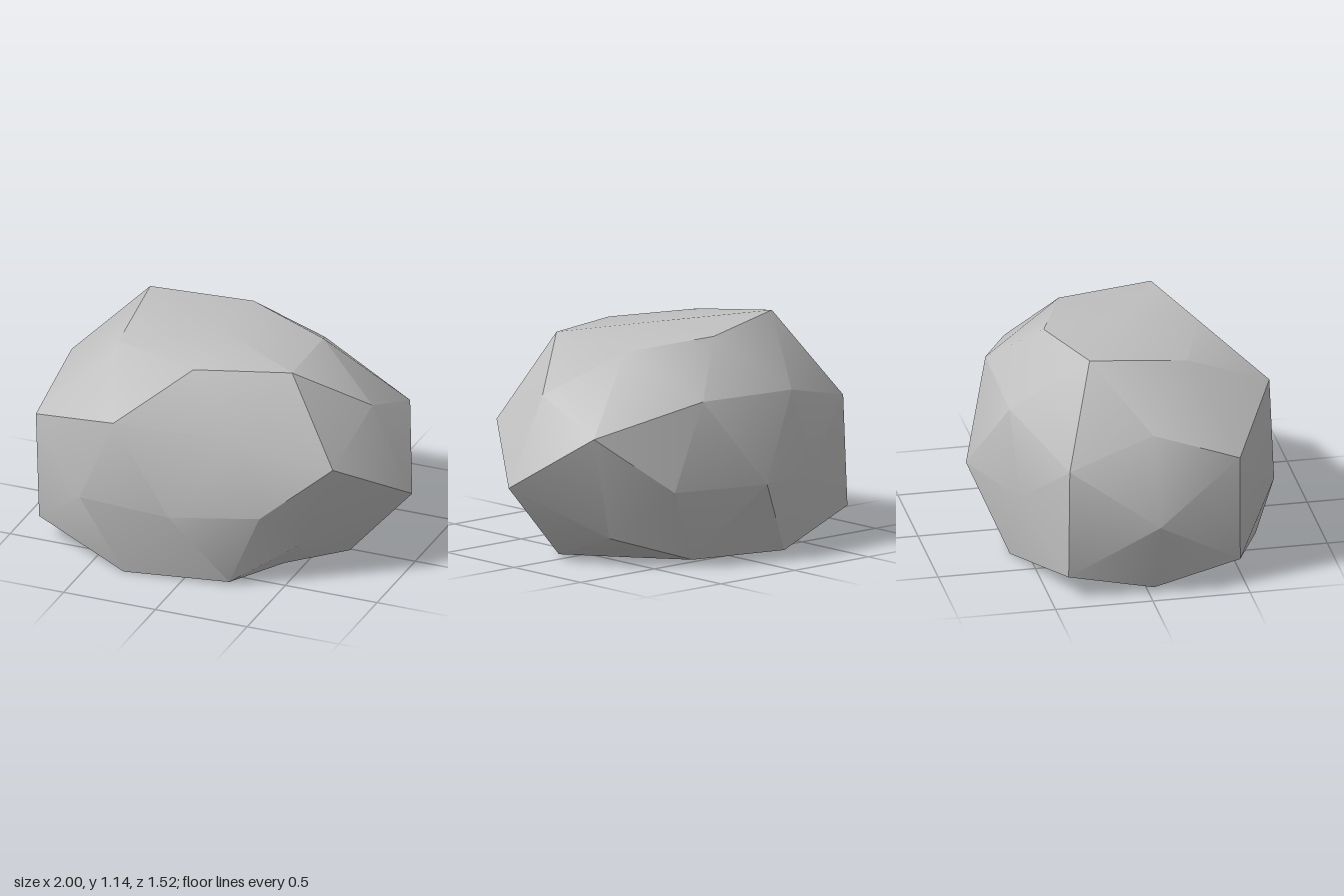
import * as THREE from 'three';
import { toCreasedNormals } from 'three/addons/utils/BufferGeometryUtils.js';

// Rings of chiselled corners, from the crown down to the flat base
const crown = [
  [-0.03, 1.12, 0.03], [-0.03, 1.08, 0.43], [-0.03, 1.1, -0.36],
  [0.45, 1.09, 0.29], [-0.5, 1.08, 0.28], [-0.54, 1.145, -0.23], [0.42, 1.055, -0.19],
];
const shoulder = [
  [0.78, 0.85, 0.03], [-0.86, 0.85, 0.03],
  [0.27, 0.78, 0.54], [-0.34, 0.86, 0.735], [0.26, 0.84, -0.6], [-0.34, 0.82, -0.6],
  [0.73, 0.66, 0.43], [0.81, 0.69, -0.39], [-0.87, 0.69, 0.475], [-0.87, 0.69, -0.4],
];
const waist = [
  [1, 0.4, 0.04], [-1, 0.4, 0.04], [-0.03, 0.4, 0.76], [-0.03, 0.4, -0.76],
  [0.4, 0.4, 0.6], [-0.53, 0.4, 0.72], [0.46, 0.4, -0.61], [-0.5, 0.4, -0.58],
];
const foot = [
  [0.55, 0.19, 0.36], [0.65, 0.15, -0.33], [-0.85, 0.12, 0.48], [-0.89, 0.12, -0.41],
  [0.66, 0.015, 0.04], [-0.84, 0, 0.04],
  [0.24, 0.02, 0.61], [-0.31, 0, 0.67], [0.27, 0.02, -0.53], [-0.3, 0, -0.59],
];
const base = [
  [0.4, 0, 0.27], [-0.45, 0, 0.27], [0.4, 0, -0.2], [-0.45, 0, -0.25],
  [-0.03, 0, 0.4], [-0.03, 0, -0.4], [-0.03, 0, 0.03],
];

export function createModel() {
  const group = new THREE.Group();
  const stone = new THREE.MeshStandardMaterial({ color: 0xc0c0c0 });
  stone.name = 'light stone grey';

  // Each corner with its direction from the middle of the boulder
  const centre = new THREE.Vector3(0, 0.4, 0.03);
  const size = new THREE.Vector3(0.95, 0.83, 0.75);
  const corners = [crown, shoulder, waist, foot, base].flat().map((p) => {
    const point = new THREE.Vector3(...p);
    return { point, dir: point.clone().sub(centre).divide(size).normalize() };
  });

  // Pull every vertex of a once-divided icosahedron to the corner it faces
  const geometry = new THREE.IcosahedronGeometry(1, 1).rotateY(Math.PI / 2);
  geometry.deleteAttribute('uv');
  const position = geometry.attributes.position;
  const v = new THREE.Vector3();
  for (let i = 0; i < position.count; i++) {
    v.fromBufferAttribute(position, i);
    const nearest = corners.reduce((a, b) => (b.dir.dot(v) > a.dir.dot(v) ? b : a));
    position.setXYZ(i, ...nearest.point.toArray());
  }

  const boulder = new THREE.Mesh(toCreasedNormals(geometry, 0.52), stone);
  boulder.name = 'boulder';
  group.add(boulder);
  return group;
}
